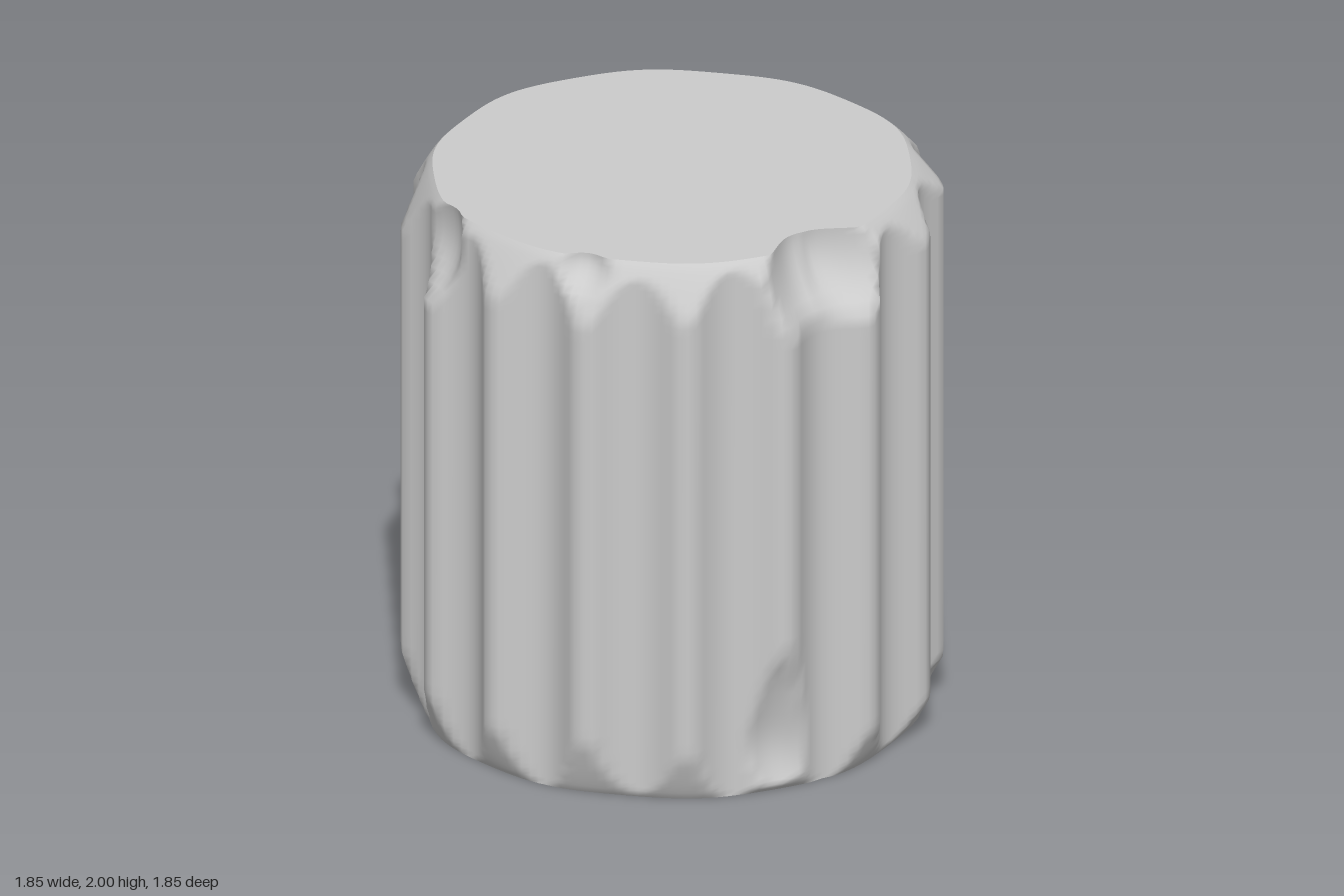
import * as THREE from 'three';

const FLUTES = 16, PER_FLUTE = 12, SEGS = FLUTES * PER_FLUTE, ROWS = 48, HEIGHT = 2;
const RIDGE = 0.935, DEPTH = 0.078, PHASE = 9;

// Broken areas: azimuth (degrees from +z towards +x), height, half sizes, floor radius, rise, power
const chips = [
  { az: 135, y: 0.24, wa: 38, wy: 0.37, floor: 0.815, rise: 0.13, p: 4 }, // large break, back base
  { az: -1, y: 2.0, wa: 19, wy: 0.3, floor: 0.72, rise: 0.2, p: 2 },      // notch, front top
  { az: -16, y: 0.2, wa: 12, wy: 0.3, floor: 0.85, rise: 0.08, p: 2 },    // front base
  { az: -104, y: 1.93, wa: 12, wy: 0.25, floor: 0.81, rise: 0.12, p: 2 }, // side top
  { az: -59, y: 2.0, wa: 11, wy: 0.14, floor: 0.8, rise: 0.13, p: 2 },
  { az: 45, y: 0, wa: 16, wy: 0.17, floor: 0.84, rise: 0.1, p: 2 },
];

const wrap = (a) => ((a + 540) % 360) - 180;

function radiusAt(az, y) {
  // Narrow flat ridges with hollow flutes between
  const step = 360 / FLUTES;
  const t = (az - PHASE) / step;
  const s = Math.abs(t - Math.round(t));
  let r = RIDGE;
  if (s > 0.09) r -= DEPTH * (1 - ((0.5 - s) / 0.41) ** 2);

  // Worn upper and lower rims
  const a = THREE.MathUtils.degToRad(az);
  const wear = 0.15 - 0.05 * Math.sin(a) + 0.02 * Math.sin(5 * a);
  const rim = 0.83 + 0.012 * Math.sin(3 * a + 1) * Math.cos(7 * a);
  const top = (HEIGHT - y) / wear, base = y / wear;
  if (top < 1) r = Math.min(r, rim + (RIDGE - rim) * top ** 0.85);
  if (base < 1) r = Math.min(r, rim + 0.025 + (RIDGE - rim - 0.025) * base ** 0.8);

  // Chips and breaks
  for (const c of chips) {
    const da = Math.abs(wrap(az - c.az)) / c.wa, dy = Math.abs(y - c.y) / c.wy;
    const rough = 0.012 * Math.sin(az * 0.21 + y * 9) * Math.cos(az * 0.13 - y * 7);
    r = Math.min(r, c.floor + rough + c.rise * (da ** c.p + dy ** c.p));
  }
  return r;
}

function rimPoint(i, y) {
  const az = (i / SEGS) * 360, a = THREE.MathUtils.degToRad(az), r = radiusAt(az, y);
  return [r * Math.sin(a), y, r * Math.cos(a)];
}

function makeGeometry(positions, index) {
  const g = new THREE.BufferGeometry();
  g.setAttribute('position', new THREE.Float32BufferAttribute(positions, 3));
  g.setIndex(index);
  g.computeVertexNormals();
  return g;
}

// Fluted wall from stacked rings, denser near both ends
function wallGeometry() {
  const pos = [], index = [];
  for (let j = 0; j <= ROWS; j++) {
    const u = j / ROWS;
    const y = HEIGHT * (u - 0.11 * Math.sin(2 * Math.PI * u));
    for (let i = 0; i < SEGS; i++) pos.push(...rimPoint(i, y));
  }
  for (let j = 0; j < ROWS; j++) {
    for (let i = 0; i < SEGS; i++) {
      const k = (i + 1) % SEGS;
      const a = j * SEGS + i, b = j * SEGS + k, c = a + SEGS, d = b + SEGS;
      index.push(a, b, d, a, d, c);
    }
  }
  return makeGeometry(pos, index);
}

// Flat end face following the worn rim
function capGeometry(y, up) {
  const pos = [0, y, 0], index = [];
  for (let i = 0; i < SEGS; i++) pos.push(...rimPoint(i, y));
  for (let i = 0; i < SEGS; i++) {
    const a = i + 1, b = ((i + 1) % SEGS) + 1;
    index.push(0, up ? a : b, up ? b : a);
  }
  return makeGeometry(pos, index);
}

export function createModel() {
  const group = new THREE.Group();
  group.name = 'columnDrum';
  const stone = new THREE.MeshStandardMaterial({ color: 0xcccccc });
  const add = (name, geometry) => {
    const mesh = new THREE.Mesh(geometry, stone);
    mesh.name = name;
    group.add(mesh);
  };
  add('flutedWall', wallGeometry());
  add('topFace', capGeometry(HEIGHT, true));
  add('bottomFace', capGeometry(0, false));
  return group;
}
